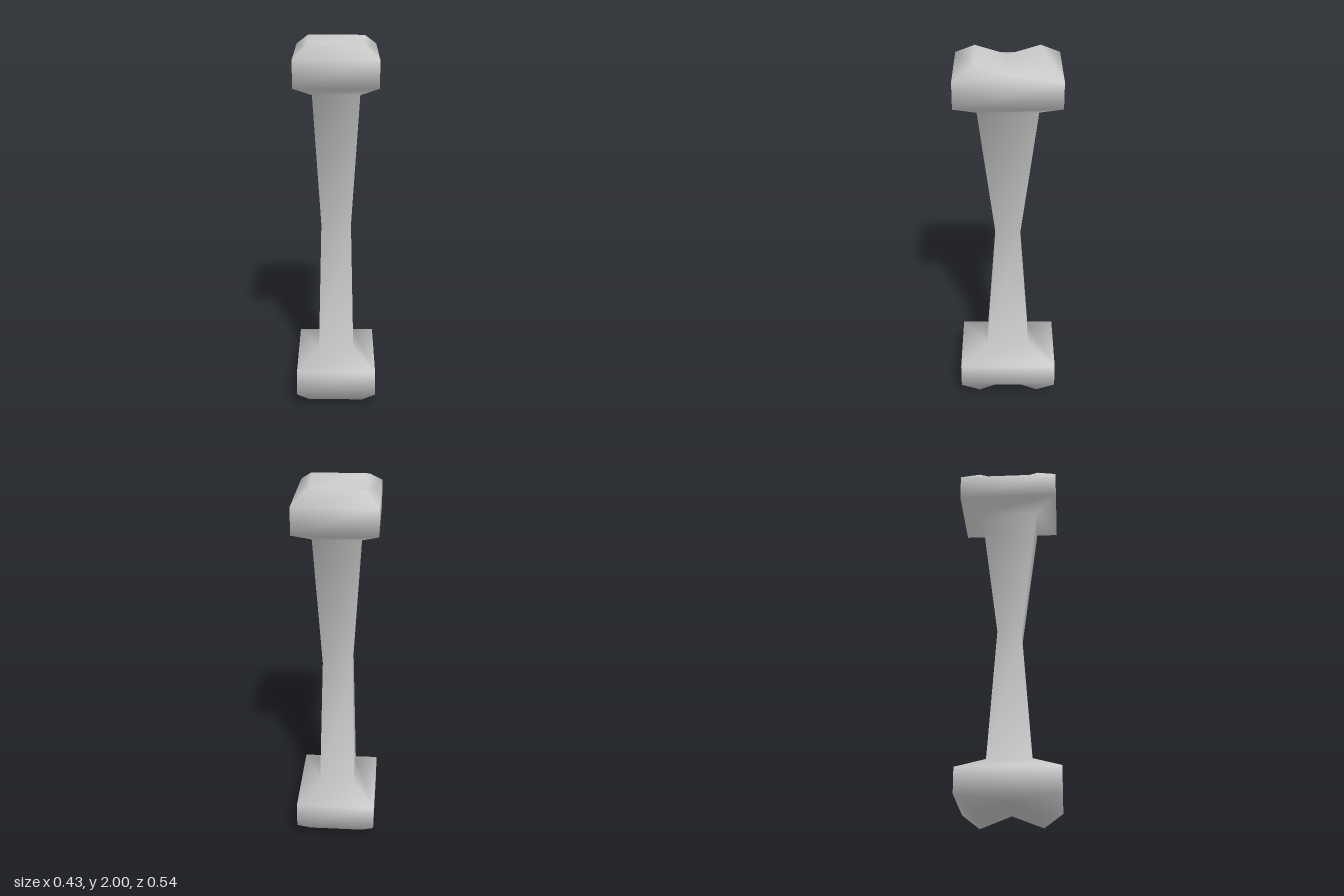
import * as THREE from 'three';

// Rectangular cross-sections from bottom to top: [y, half width x, half depth z]
const SECTIONS = [
  [0.09, 0.215, 0.267],
  [0.225, 0.215, 0.267],
  [0.3, 0.096, 0.117],
  [1.02, 0.08, 0.065],
  [1.745, 0.122, 0.155],
  [1.8, 0.215, 0.27],
  [1.94, 0.215, 0.27],
];

function boneGeometry() {
  const positions = [];
  const index = [];
  const corners = [[1, 1], [1, -1], [-1, -1], [-1, 1]];

  const addPoint = (x, y, z) => positions.push(x, y, z) / 3 - 1;
  const addRing = ([y, x, z]) => corners.map(([sx, sz]) => addPoint(sx * x, y, sz * z));
  const addFace = (points, flip) => {
    const p = flip ? [...points].reverse() : points;
    for (let i = 1; i < p.length - 1; i++) index.push(p[0], p[i], p[i + 1]);
  };

  // Shaft and the straight walls of both heads
  const rings = SECTIONS.map(addRing);
  for (let r = 0; r < rings.length - 1; r++) {
    for (let k = 0; k < 4; k++) {
      const n = (k + 1) % 4;
      addFace([rings[r][k], rings[r][n], rings[r + 1][n], rings[r + 1][k]]);
    }
  }

  // Two-ridged end with a valley running across it
  const addKnuckles = (rim, ridgeY, valleyY, flip) => {
    const ridge = addRing([ridgeY, 0.15, 0.167]);
    const valley = [addPoint(0.15, valleyY, 0), addPoint(-0.15, valleyY, 0)];
    for (let h = 0; h < 2; h++) {
      const a = h * 2, b = a + 1, d = (a + 3) % 4;
      const near = valley[h], far = valley[1 - h];
      addFace([rim[d], rim[a], ridge[a], ridge[d]], flip); // sloping end
      addFace([rim[a], rim[b], near], flip); // side under the valley
      addFace([rim[b], ridge[b], near], flip);
      addFace([rim[a], near, ridge[a]], flip);
      addFace([ridge[d], ridge[a], near, far], flip); // slope into the valley
    }
  };
  addKnuckles(rings[rings.length - 1], 2, 1.95, false);
  addKnuckles(rings[0], 0, 0.065, true);

  const geometry = new THREE.BufferGeometry();
  geometry.setAttribute('position', new THREE.Float32BufferAttribute(positions, 3));
  geometry.setIndex(index);
  geometry.computeVertexNormals();
  return geometry;
}

export function createModel() {
  const group = new THREE.Group();
  group.name = 'bone';
  const body = new THREE.Mesh(
    boneGeometry(),
    new THREE.MeshStandardMaterial({ color: 0xcccccc })
  );
  body.name = 'boneBody';
  group.add(body);
  return group;
}
